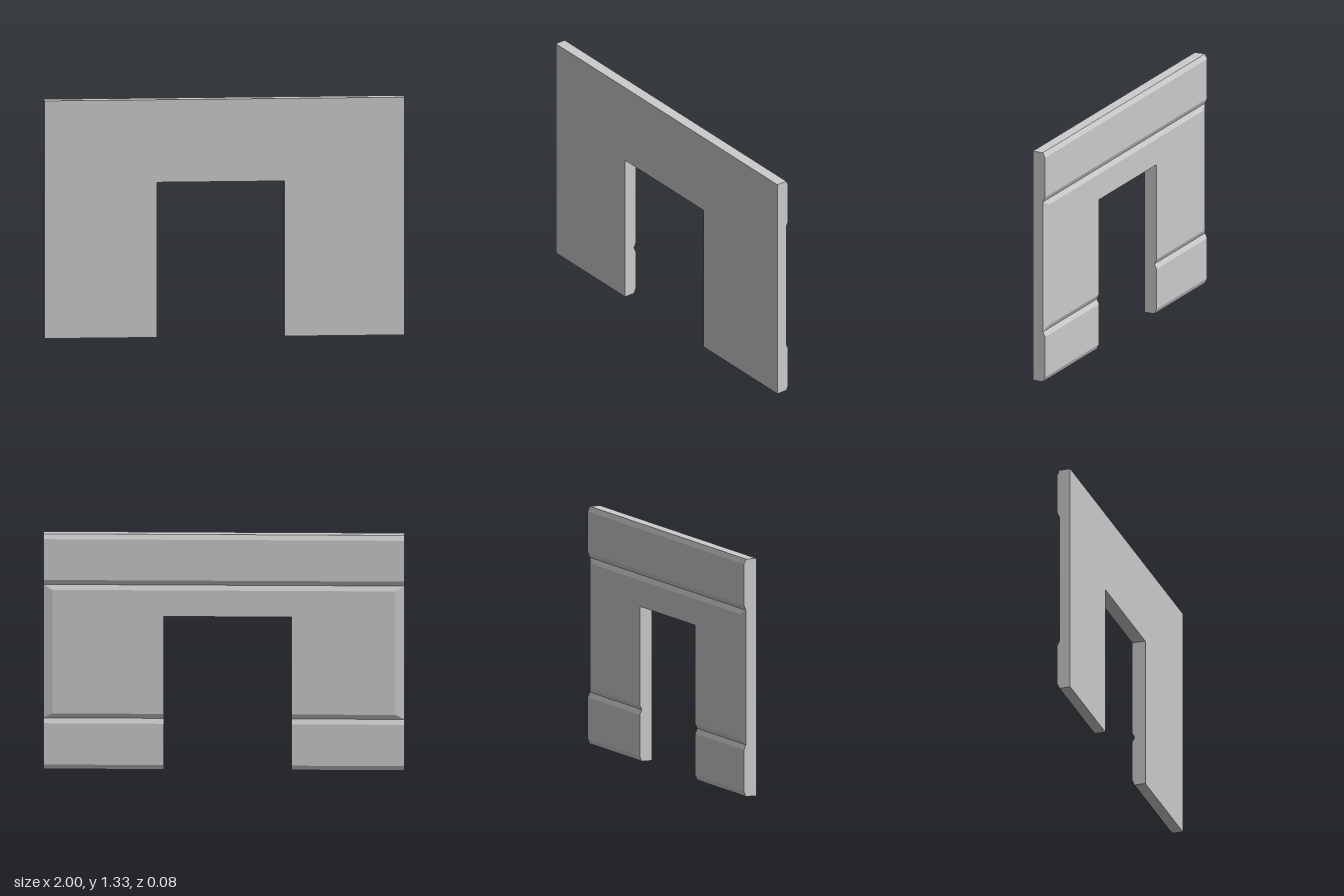
import * as THREE from 'three';

const FRONT = 0.038, CORE_BACK = -0.025, BACK = -0.038;
const HEIGHT = 1.333, DOOR_LEFT = 0.333, DOOR_RIGHT = -0.375, DOOR_TOP = 0.87;
const LOW = 0.29, HIGH = 1.046; // groove heights
const B = 0.028, END = 0.05;    // bevel widths

const material = new THREE.MeshStandardMaterial({ color: 0xcccccc, flatShading: true });

// Raised slab on the back: base outline (counter-clockwise in x, y) and matching raised outline
function raisedPanel(name, base, raised) {
  const pos = [];
  const put = (p, z) => pos.push(p[0], p[1], z);
  base.forEach((b, i) => {
    const j = (i + 1) % base.length;
    put(b, CORE_BACK); put(raised[i], BACK); put(raised[j], BACK);
    put(b, CORE_BACK); put(raised[j], BACK); put(base[j], CORE_BACK);
  });
  const outline = raised.map(([x, y]) => new THREE.Vector2(x, y));
  for (const [a, b, c] of THREE.ShapeUtils.triangulateShape(outline, [])) {
    put(raised[a], BACK); put(raised[c], BACK); put(raised[b], BACK);
  }
  const geometry = new THREE.BufferGeometry();
  geometry.setAttribute('position', new THREE.Float32BufferAttribute(pos, 3));
  geometry.computeVertexNormals();
  const mesh = new THREE.Mesh(geometry, material);
  mesh.name = name;
  return mesh;
}

// Horizontal board with bevelled top and bottom edges
function board(name, x0, x1, y0, y1) {
  const rect = (a, b) => [[x0, a], [x1, a], [x1, b], [x0, b]];
  return raisedPanel(name, rect(y0, y1), rect(y0 + B, y1 - B));
}

// Outline running round the doorway
function arch(x, bottom, top) {
  return [
    [-x, bottom], [DOOR_RIGHT, bottom], [DOOR_RIGHT, DOOR_TOP], [DOOR_LEFT, DOOR_TOP],
    [DOOR_LEFT, bottom], [x, bottom], [x, top], [-x, top],
  ];
}

export function createModel() {
  const group = new THREE.Group();
  group.name = 'doorwayWall';

  // Flat wall core with the doorway cut out
  const shape = new THREE.Shape(arch(1, 0, HEIGHT).map(([x, y]) => new THREE.Vector2(x, y)));
  const core = new THREE.Mesh(
    new THREE.ExtrudeGeometry(shape, { depth: FRONT - CORE_BACK, bevelEnabled: false }), material);
  core.position.z = CORE_BACK;
  core.name = 'wallCore';
  group.add(core);

  // Back cladding: top board, middle panel bevelled at its outer ends, two skirting boards
  group.add(
    board('topBoard', -1, 1, HIGH, HEIGHT),
    raisedPanel('middlePanel', arch(1, LOW, HIGH), arch(1 - END, LOW + B, HIGH - B)),
    board('rightSkirting', -1, DOOR_RIGHT, 0, LOW),
    board('leftSkirting', DOOR_LEFT, 1, 0, LOW),
  );
  return group;
}
